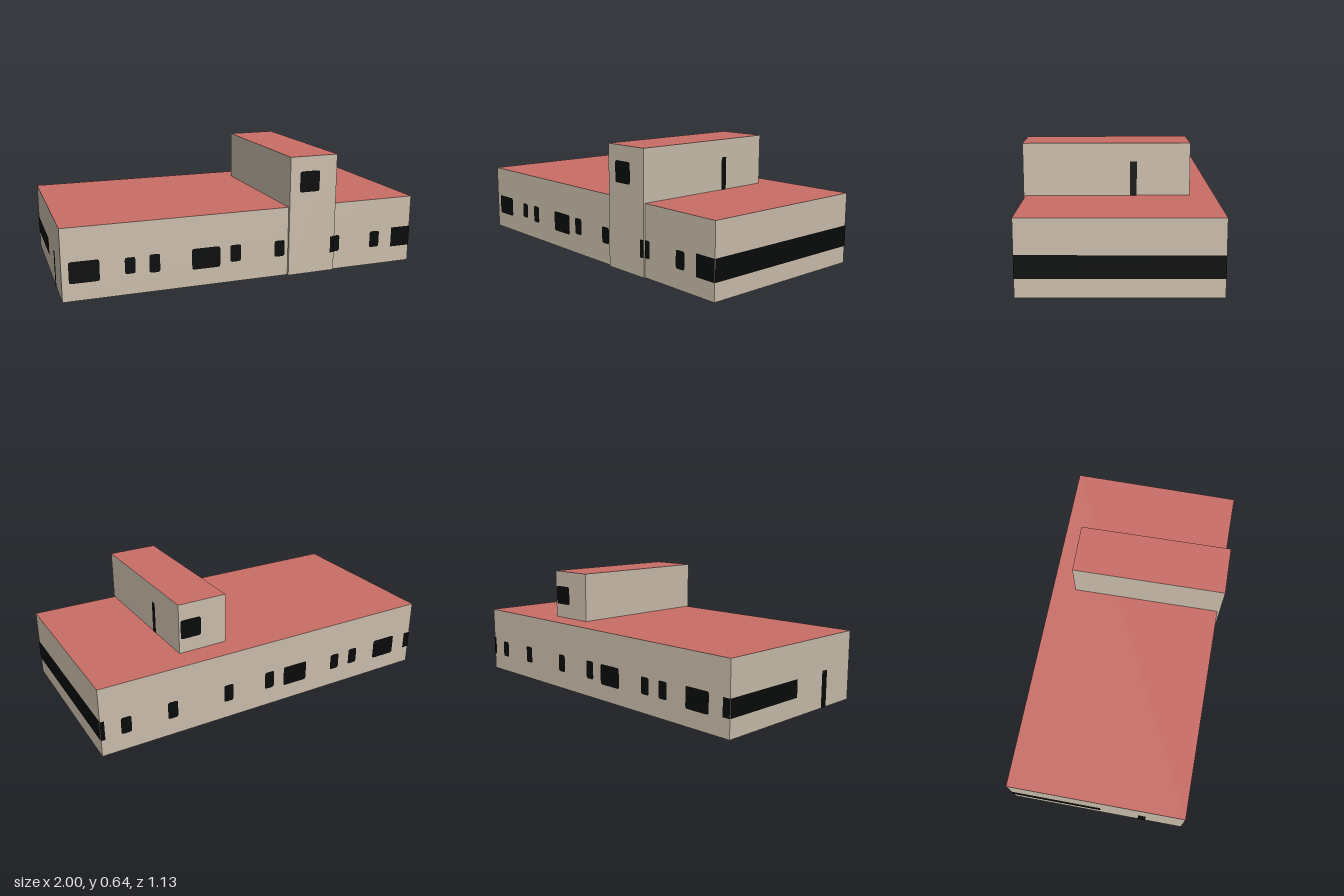
import * as THREE from 'three';

const wall = new THREE.MeshStandardMaterial({ color: 0xcabdab });
wall.name = 'beigeWall';
const roof = new THREE.MeshStandardMaterial({ color: 0xca6d67 });
roof.name = 'redRoof';
const glass = new THREE.MeshStandardMaterial({ color: 0x090a0a });
glass.name = 'blackOpening';

// Block standing on the ground with a coloured roof on its top face
function block(name, w, h, d) {
  const group = new THREE.Group();
  group.name = name;
  const mesh = new THREE.Mesh(new THREE.BoxGeometry(w, h, d), [wall, wall, roof, wall, wall, wall]);
  mesh.name = name + 'Shell';
  mesh.position.y = h / 2;
  group.add(mesh);
  return group;
}

// Flat panel with rounded corners of radius r
function panelGeometry(w, h, r) {
  const s = new THREE.Shape();
  const x = w / 2, y = h / 2;
  if (r === 0) {
    s.moveTo(-x, -y).lineTo(x, -y).lineTo(x, y).lineTo(-x, y);
  } else {
    s.moveTo(-x + r, -y).lineTo(x - r, -y).quadraticCurveTo(x, -y, x, -y + r);
    s.lineTo(x, y - r).quadraticCurveTo(x, y, x - r, y);
    s.lineTo(-x + r, y).quadraticCurveTo(-x, y, -x, y - r);
    s.lineTo(-x, -y + r).quadraticCurveTo(-x, -y, -x + r, -y);
  }
  return new THREE.ShapeGeometry(s, 3);
}

// Panel on one side of a block; a..b runs along local x (front, back) or z (left, right)
function opening(group, name, side, dist, a, b, y0, y1, r = 0.012) {
  const mesh = new THREE.Mesh(panelGeometry(b - a, y1 - y0, r), glass);
  const mid = (a + b) / 2, y = (y0 + y1) / 2, off = dist + 0.002;
  mesh.name = name;
  if (side === 'front') mesh.position.set(mid, y, off);
  if (side === 'back') mesh.position.set(mid, y, -off);
  if (side === 'left') mesh.position.set(off, y, mid);
  if (side === 'right') mesh.position.set(-off, y, mid);
  mesh.rotation.y = { front: 0, back: Math.PI, left: Math.PI / 2, right: -Math.PI / 2 }[side];
  group.add(mesh);
}

export function createModel() {
  const model = new THREE.Group();
  model.name = 'building';

  // Long low hall, turned slightly
  const W = 0.961, D = 0.477;
  const hall = block('hall', W * 2, 0.37, D * 2);
  hall.rotation.y = 0.0913;
  model.add(hall);

  // Front windows: start, end, bottom, top
  [
    [-0.926, -0.777, 0.09, 0.2], [-0.653, -0.6, 0.108, 0.192], [-0.53, -0.475, 0.1, 0.195],
    [-0.309, -0.159, 0.09, 0.2], [-0.104, -0.046, 0.108, 0.198], [0.142, 0.2, 0.108, 0.195],
    [0.465, 0.523, 0.1, 0.19], [0.71, 0.768, 0.1, 0.19],
  ].forEach((w) => opening(hall, 'frontWindow', 'front', D, ...w));

  // Back windows
  [
    [0.802, 0.857, 0.093, 0.183], [0.553, 0.608, 0.096, 0.19], [0.235, 0.29, 0.096, 0.192],
    [-0.014, 0.042, 0.1, 0.197], [-0.221, -0.076, 0.088, 0.197], [-0.442, -0.387, 0.098, 0.187],
    [-0.567, -0.512, 0.1, 0.19], [-0.837, -0.691, 0.088, 0.197],
  ].forEach((w) => opening(hall, 'backWindow', 'back', D, ...w));

  // Window bands on the ends, wrapping around the corners
  opening(hall, 'leftBand', 'left', W, -D, D, 0.09, 0.2, 0);
  opening(hall, 'frontCornerWindow', 'front', D, 0.845, W, 0.09, 0.2, 0);
  opening(hall, 'backLeftCornerWindow', 'back', D, 0.94, W, 0.09, 0.195, 0);
  opening(hall, 'rightBand', 'right', W, -D, 0.02, 0.097, 0.19, 0);
  opening(hall, 'backRightCornerWindow', 'back', D, -W, -0.92, 0.097, 0.19, 0);
  opening(hall, 'rightDoor', 'right', W, 0.23, 0.272, 0.001, 0.195, 0);

  // Taller narrow wing crossing the hall
  const w = 0.134, d = 0.4185;
  const wing = block('raisedWing', w * 2, 0.636, d * 2);
  wing.position.set(0.352, 0, 0.0375);
  wing.rotation.y = 0.107;
  model.add(wing);
  opening(wing, 'wingFrontWindow', 'front', d, -0.079, 0.034, 0.447, 0.558);
  opening(wing, 'wingBackWindow', 'back', d, 0.011, 0.125, 0.447, 0.55);
  opening(wing, 'wingEdgeWindow', 'front', d, 0.109, w, 0.1, 0.19, 0);
  opening(wing, 'roofDoor', 'left', w, -0.151, -0.117, 0.37, 0.542, 0);

  return model;
}
